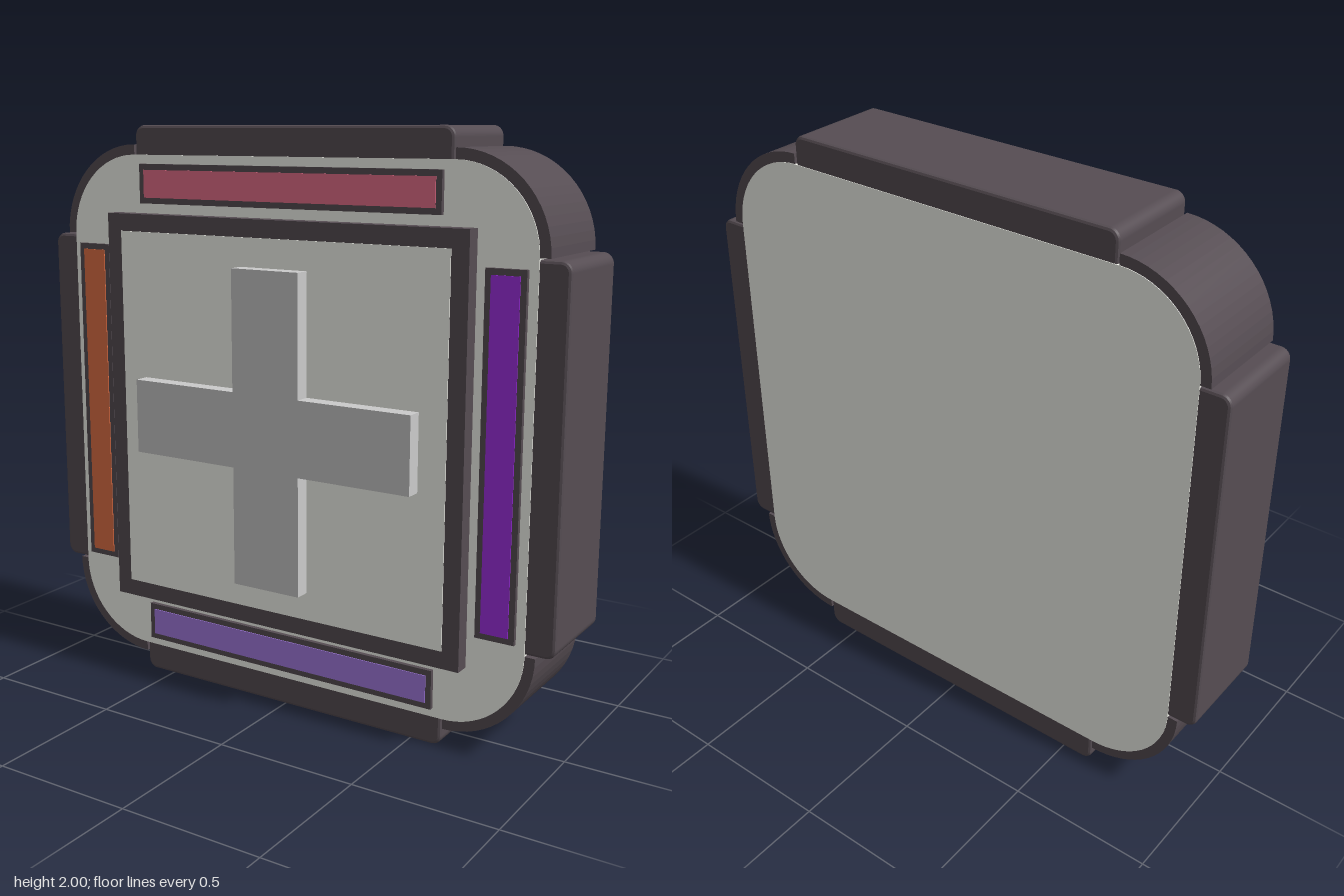
import * as THREE from 'three';

const mat = (color) => new THREE.MeshStandardMaterial({ color });
const dark = mat(0x564d53);
const light = mat(0xf9faf2);
const grey = mat(0xcccccc);

const BACK = -0.235, FRONT = 0.125;

function add(parent, name, geometry, material) {
  const mesh = new THREE.Mesh(geometry, material);
  mesh.name = name;
  parent.add(mesh);
  return mesh;
}

// Rounded rectangle outline centred on (cx, cy)
function roundedRect(w, h, r, cx = 0, cy = 0) {
  const s = new THREE.Shape();
  const x = w / 2 - r, y = h / 2 - r;
  s.absarc(cx + x, cy + y, r, 0, Math.PI / 2);
  s.absarc(cx - x, cy + y, r, Math.PI / 2, Math.PI);
  s.absarc(cx - x, cy - y, r, Math.PI, Math.PI * 1.5);
  s.absarc(cx + x, cy - y, r, Math.PI * 1.5, Math.PI * 2);
  s.closePath();
  return s;
}

// Extrude a shape between two z levels, with an optional bevel inside them
function slab(shape, z0, z1, bevel = 0, curveSegments = 8) {
  const g = new THREE.ExtrudeGeometry(shape, {
    depth: z1 - z0 - 2 * bevel, curveSegments,
    bevelEnabled: bevel > 0, bevelThickness: bevel, bevelSize: bevel,
    bevelOffset: -bevel, bevelSegments: 2,
  });
  return g.translate(0, 0, z0 + bevel);
}

function box(w, h, z0, z1, x = 0, y = 0) {
  return new THREE.BoxGeometry(w, h, z1 - z0).translate(x, y, (z0 + z1) / 2);
}

export function createModel() {
  const model = new THREE.Group();
  model.name = 'panelBlock';
  const centre = new THREE.Group();
  centre.position.y = 1;
  model.add(centre);

  // Pale core, seen on the front and back
  add(centre, 'core', slab(roundedRect(1.8, 1.8, 0.28), BACK, FRONT), light);

  // Four sides: bumper, corner guard and coloured light bar
  const sides = [['top', 0xe86f8a], ['left', 0xa130e5], ['bottom', 0xa67de5], ['right', 0xe57146]];
  sides.forEach(([name, color], i) => {
    const side = new THREE.Group();
    side.name = name + 'Side';
    side.rotation.z = -i * Math.PI / 2;
    centre.add(side);

    add(side, 'bumper', slab(roundedRect(1.23, 0.16, 0.035, 0, 0.92), BACK + 0.002, FRONT - 0.003, 0.01), dark);

    const arc = new THREE.Shape();
    arc.moveTo(0.935, 0.62);
    arc.absarc(0.62, 0.62, 0.315, 0, Math.PI / 2, false);
    arc.lineTo(0.62, 0.89);
    arc.absarc(0.62, 0.62, 0.27, Math.PI / 2, 0, true);
    arc.closePath();
    add(side, 'cornerGuard', slab(arc, BACK + 0.002, FRONT - 0.003), dark);

    add(side, 'lightBarFrame', box(1.17, 0.135, 0.11, 0.14, 0, 0.802), dark);
    add(side, 'lightBar', box(1.13, 0.095, 0.11, 0.143, 0, 0.802), mat(color));
  });

  // Raised square screen with dark frame
  add(centre, 'screenFrame', box(1.4, 1.4, 0.1, 0.178), dark);
  add(centre, 'screen', box(1.28, 1.28, 0.1, 0.181), light);

  // Plus-shaped pad
  const a = 0.13, b = 0.543;
  const plus = new THREE.Shape([
    [a, a], [a, b], [-a, b], [-a, a], [-b, a], [-b, -a],
    [-a, -a], [-a, -b], [a, -b], [a, -a], [b, -a], [b, a],
  ].map(([x, y]) => new THREE.Vector2(x, y)));
  add(centre, 'plusPad', slab(plus, 0.17, 0.235), grey);

  return model;
}
